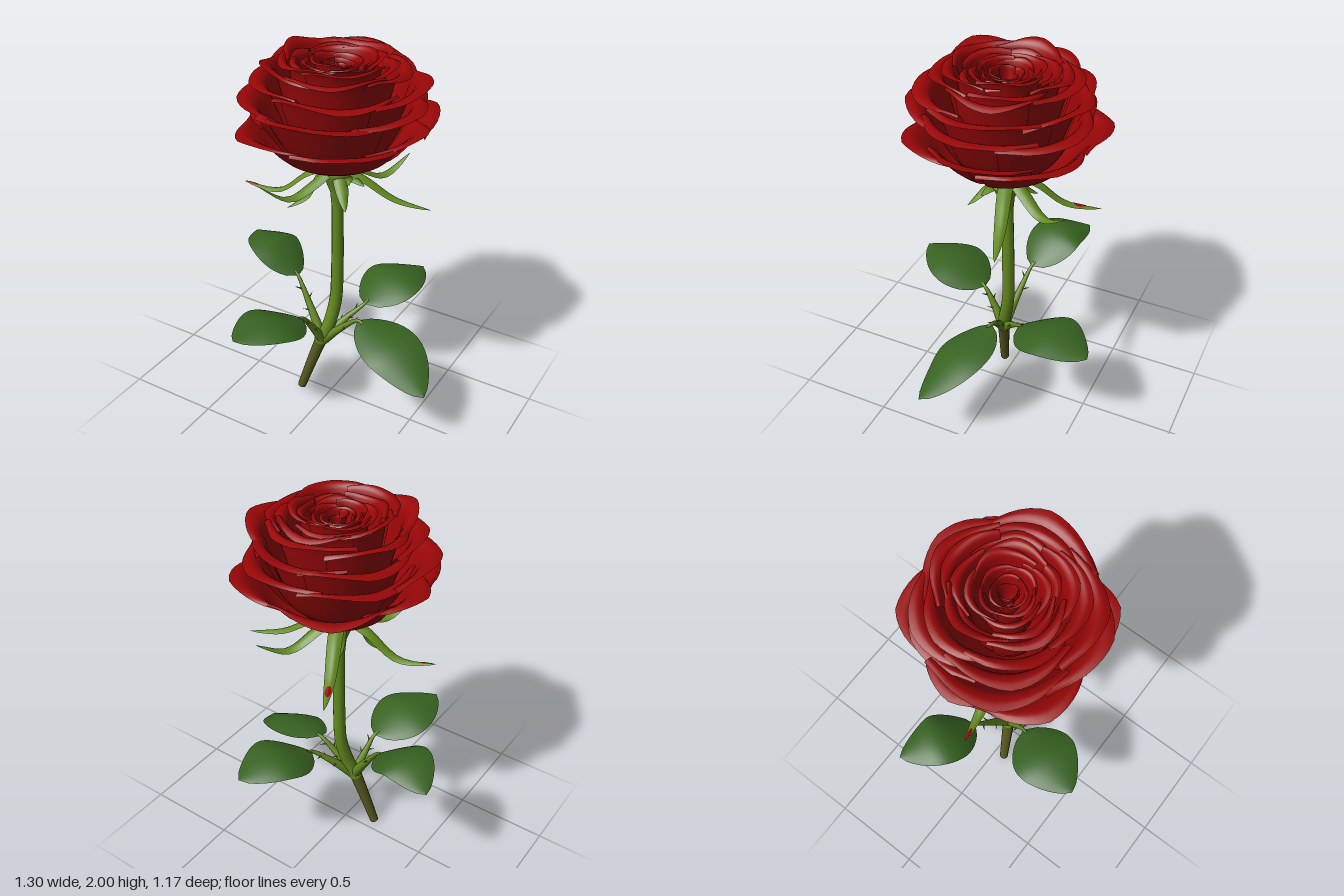
import * as THREE from 'three';

const V = (x, y, z) => new THREE.Vector3(x, y, z);
const mat = (name, color) => {
  const m = new THREE.MeshStandardMaterial({ color, side: THREE.DoubleSide });
  m.name = name;
  return m;
};

// Sheet whose points follow fn(u in -1..1, v in 0..1)
function sheet(fn, nu, nv) {
  const g = new THREE.PlaneGeometry(1, 1, nu, nv);
  const p = g.attributes.position, uv = g.attributes.uv;
  for (let i = 0; i < p.count; i++) {
    const q = fn(uv.getX(i) * 2 - 1, uv.getY(i));
    p.setXYZ(i, q.x, q.y, q.z);
  }
  g.computeVertexNormals();
  return g;
}

// Tube along points whose radius goes from r0 to r1
function taperTube(points, r0, r1, seg = 20, radial = 10) {
  const curve = new THREE.CatmullRomCurve3(points);
  const g = new THREE.TubeGeometry(curve, seg, r0, radial);
  const p = g.attributes.position, q = V(0, 0, 0);
  for (let i = 0; i < p.count; i++) {
    const t = Math.floor(i / (radial + 1)) / seg;
    const c = curve.getPointAt(t);
    q.fromBufferAttribute(p, i).sub(c).multiplyScalar(1 + (r1 / r0 - 1) * t).add(c);
    p.setXYZ(i, q.x, q.y, q.z);
  }
  return g;
}

// Blade surface along points: width(v) is the half width, fold lowers the edges, roll tips it sideways
function blade(points, width, fold, roll = 0) {
  const curve = new THREE.CatmullRomCurve3(points);
  return (u, v) => {
    const t = curve.getTangentAt(v);
    const side = V(0, 1, 0).cross(t).normalize().applyAxisAngle(t, roll);
    const up = t.clone().cross(side);
    const w = width(v);
    return curve.getPointAt(v).addScaledVector(side, u * w).addScaledVector(up, -fold * u * u * w);
  };
}

// Oval spot lying on a blade, lifted by dy
const spot = (surface, u0, v0, ru, rv, dy) => sheet((a, b) => {
  const q = surface(u0 + ru * b * Math.cos(a * Math.PI), v0 + rv * b * Math.sin(a * Math.PI));
  q.y += dy;
  return q;
}, 12, 3);

export function createModel() {
  const root = new THREE.Group();
  root.name = 'rose';
  const red = mat('petal red', 0x980607);
  const green = mat('stem green', 0x648a20);
  const leafGreen = mat('leaf green', 0x386321);
  const brown = mat('woody olive', 0x55581e);
  const black = mat('blight black', 0x060806);
  const add = (name, geo, m, parent = root) => {
    const mesh = new THREE.Mesh(geo, m);
    mesh.name = name;
    parent.add(mesh);
    return mesh;
  };
  let seed = 7;
  const rnd = () => (seed = (seed * 16807) % 2147483647) / 2147483647 - 0.5;

  // Stem
  const foot = V(-0.16, 0.015, 0.06), fork = V(-0.05, 0.37, 0.015);
  add('lowerStem', taperTube([foot, V(-0.11, 0.18, 0.04), fork], 0.024, 0.034, 10), brown);
  const cut = add('stemCut', new THREE.CylinderGeometry(0.024, 0.024, 0.006, 10), brown);
  cut.position.copy(foot);
  cut.quaternion.setFromUnitVectors(V(0, 1, 0), fork.clone().sub(foot).normalize());
  add('upperStem', taperTube([V(-0.06, 0.34, 0.02), V(-0.025, 0.43, 0), V(0.004, 0.6, -0.035),
    V(0.012, 0.8, -0.04), V(0.015, 1.24, -0.034)], 0.036, 0.031, 28), green);

  // Cup under the flower
  const cup = [[0.031, 1.2], [0.037, 1.27], [0.056, 1.32], [0.078, 1.37], [0.09, 1.425], [0, 1.42]];
  add('flowerCup', new THREE.LatheGeometry(cup.map(([x, y]) => new THREE.Vector2(x, y)), 20), green)
    .position.set(0.015, 0, -0.034);

  // Sepals: tip, height of the middle, and where a red fleck sits along it
  const sepals = [
    [-0.48, 1.25, 0.08, 1.24, 0.91], [0.47, 1.22, -0.18, 1.27], [-0.18, 1.43, 0.38, 1.32],
    [-0.2, 1.19, -0.46, 1.24, 0.76], [0.22, 1.375, -0.43, 1.3], [-0.19, 1.19, 0.12, 1.26],
    [0.15, 1.26, 0.12, 1.34], [0.2, 1.37, 0.02, 1.39], [-0.08, 1.27, -0.16, 1.33],
  ];
  for (const [x, y, z, mid, fleck] of sepals) {
    const d = V(x - 0.015, 0, z + 0.034), len = d.length();
    d.normalize();
    const at = (r, h) => V(0.015 + d.x * r, h, -0.034 + d.z * r);
    const surface = blade([at(0.06, 1.41), at(0.06 + len * 0.2, 1.36), at(len * 0.62, mid), at(len, y)],
      v => 0.05 * Math.pow(1 - v, 0.75) * (0.75 + 0.6 * v), 0.5);
    add('sepal', sheet(surface, 4, 12), green);
    if (fleck) for (const dy of [0.003, -0.003]) add('sepalFleck', spot(surface, 0.1, fleck, 0.75, 0.07, dy), red);
  }

  // Leaves on thorny stalks: blade base, middle, tip, half width, roll, dark spots underneath
  const leaves = [
    [V(0.16, 0.54, -0.01), V(0.43, 0.5, 0.07), V(0.65, 0.35, 0.17), 0.16, 0.2, [[0.5, 0.42]]],
    [V(-0.25, 0.66, -0.06), V(-0.46, 0.8, -0.14), V(-0.655, 0.74, -0.25), 0.15, 0.08, [[0.55, 0.75]]],
    [V(0.12, 0.55, -0.15), V(0.19, 0.65, -0.37), V(0.26, 0.6, -0.59), 0.18, 0, [[0.55, 0.72], [0.65, 0.4]]],
    [V(-0.09, 0.56, 0.15), V(-0.16, 0.65, 0.36), V(-0.23, 0.63, 0.58), 0.18, 0, [[-0.5, 0.7]]],
  ];
  for (const [base, mid, tip, w, roll, spots] of leaves) {
    const leaf = new THREE.Group();
    leaf.name = 'leafBranch';
    root.add(leaf);
    const surface = blade([base, mid, tip],
      v => w * Math.pow(Math.max(0, Math.sin(Math.PI * Math.pow(v, 0.85))), 0.7), 0.2, roll);
    add('leafBlade', sheet(surface, 8, 18), leafGreen, leaf);
    for (const [u, v] of spots) add('leafSpot', spot(surface, u, v, 0.15, 0.07, -0.005), black, leaf);
    add('leafStalk', taperTube([V(-0.045, 0.35, 0.015), fork.clone().lerp(base, 0.5), base,
      base.clone().lerp(mid, 0.12)], 0.031, 0.007, 14, 8), green, leaf);
    // Thorns stand off either side of the stalk
    const dir = base.clone().sub(fork).normalize();
    const side = V(0, 1, 0).cross(dir).normalize();
    [0.42, 0.6, 0.78].forEach((t, i) => {
      const out = side.clone().multiplyScalar(i % 2 ? -1 : 1).addScaledVector(dir, 0.7).normalize();
      const thorn = add('thorn', new THREE.ConeGeometry(0.008, 0.06, 5), green, leaf);
      thorn.position.copy(fork).lerp(base, t).addScaledVector(out, 0.03);
      thorn.quaternion.setFromUnitVectors(V(0, 1, 0), out);
    });
  }

  // Petals: rings from the outside in, each petal curled out at the rim and lapping over the next
  const bloom = new THREE.Group();
  bloom.name = 'bloom';
  bloom.position.set(0.015, 0, -0.034);
  root.add(bloom);
  function petal(name, angle, half, R, top, dip) {
    const base = Math.max(1.425, top - R * 2.2), h = top - base;
    const phase = rnd() * 6, lift = rnd() * 0.04, small = Math.min(1, R * 3);
    const profile = new THREE.CatmullRomCurve3([
      V(0, base, 0), V(R * 0.24, base + h * 0.03, 0), V(R * 0.53, base + h * 0.3, 0),
      V(R * 0.72, base + h * 0.74, 0), V(R * 0.81, top - 0.02 * small, 0),
      V(R * 0.9, top + 0.004, 0), V(R, top, 0)]);
    add(name, sheet((u, v) => {
      const p = profile.getPoint(v), k = v * v * v, a = angle + u * half;
      const corner = Math.pow(Math.min(1, Math.abs(u) / 0.8), 1.3);
      const r = p.x * (1 - dip * corner * k + 0.035 * u * v);
      const wave = 0.012 * Math.sin(4 * u + phase) - 0.02 * u * u + lift * (1 - corner);
      return V(Math.cos(a) * r, p.y + wave * k * small, Math.sin(a) * r);
    }, 16, 18), red, bloom);
  }
  // direction in degrees and reach of each outer petal
  const outer = [[122, 0.52], [47, 0.51], [-1, 0.475], [-49, 0.52], [-122, 0.515], [176, 0.475]];
  for (const [deg, R] of outer) petal('outerPetal', deg * Math.PI / 180, 0.75, R, 1.665 + rnd() * 0.02, 0.18);
  // radius, rim height, petals
  const rings = [
    [0.465, 1.775, 5], [0.44, 1.88, 5], [0.375, 1.95, 5], [0.305, 1.97, 5], [0.24, 1.965, 5],
    [0.185, 1.96, 4], [0.135, 1.955, 4], [0.09, 1.95, 3], [0.05, 1.945, 3],
  ];
  rings.forEach(([R, top, n], k) => {
    for (let i = 0; i < n; i++) {
      petal('innerPetal', (i / n) * Math.PI * 2 + k * 1.1 + rnd() * 0.25, (Math.PI / n) * 1.35,
        R * (1 + rnd() * 0.1), top + rnd() * 0.04, 0.13);
    }
  });
  return root;
}
